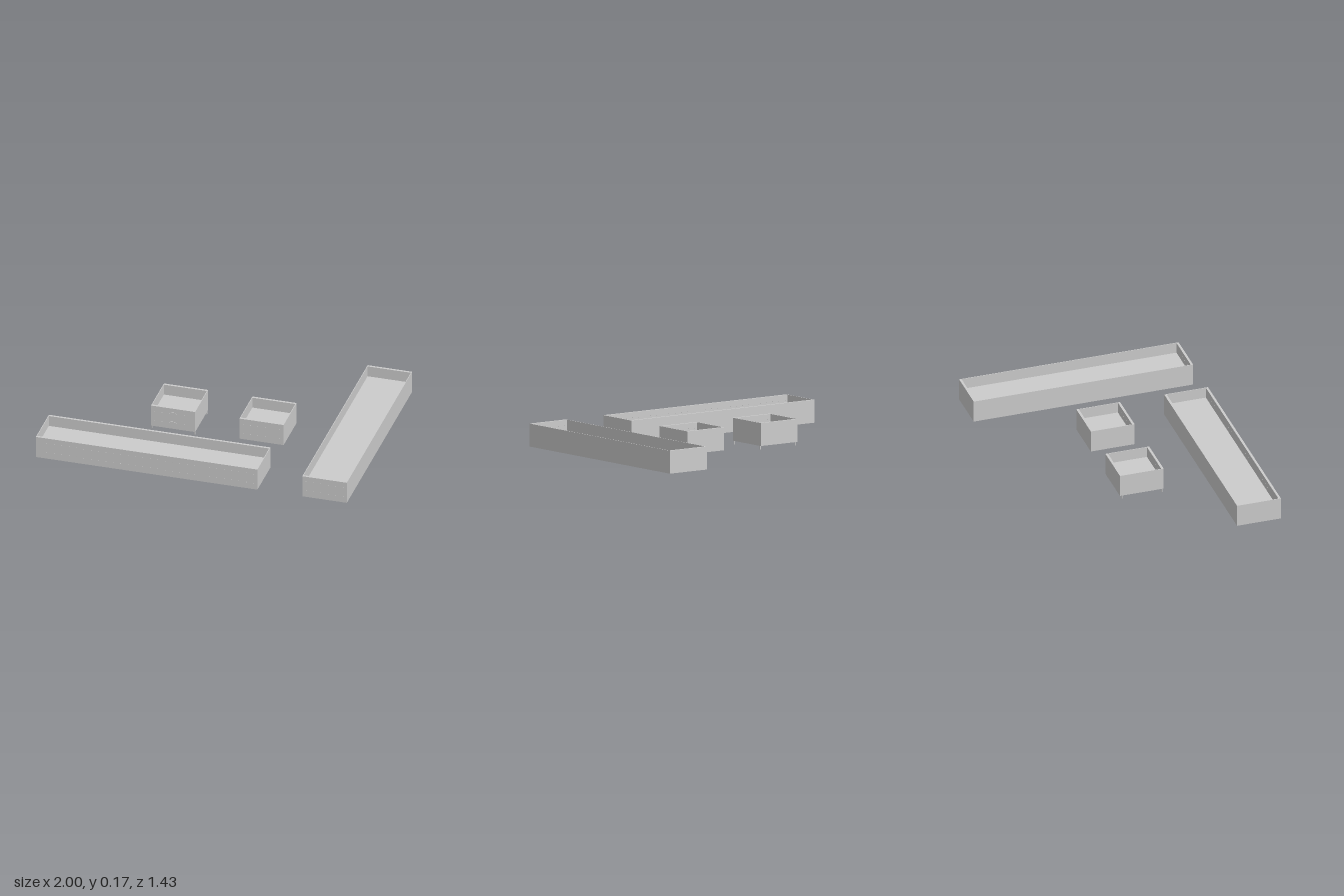
import * as THREE from 'three';

const BOTTOM = 0.022, TOP = 0.165, FLOOR = 0.095;
const WALL = 0.015, SIDE = 0.004;

const grey = new THREE.MeshStandardMaterial({ color: 0xcccccc, flatShading: true });

function add(parent, name, geometry, x, y, z) {
  const mesh = new THREE.Mesh(geometry, grey);
  mesh.name = name;
  mesh.position.set(x, y, z);
  parent.add(mesh);
  return mesh;
}

// Front wall with two rows of tiny drilled holes
function perforatedWall(width, height) {
  const shape = new THREE.Shape([
    new THREE.Vector2(-width / 2, 0), new THREE.Vector2(width / 2, 0),
    new THREE.Vector2(width / 2, height), new THREE.Vector2(-width / 2, height),
  ]);
  const columns = Math.round(width / 0.048);
  for (const y of [0.3 * height, 0.75 * height]) {
    for (let i = 0; i < columns; i++) {
      const hole = new THREE.Path();
      hole.absarc(((i + 0.5) / columns - 0.5) * width, y, 0.002, 0, Math.PI * 2, true);
      shape.holes.push(hole);
    }
  }
  return new THREE.ExtrudeGeometry(shape, { depth: WALL, bevelEnabled: false, curveSegments: 6 });
}

// Open tray: raised floor, thick front and back walls, thin sides
function tray(name, x0, x1, z0, z1) {
  const group = new THREE.Group();
  group.name = name;
  const w = x1 - x0, d = z1 - z0, h = TOP - BOTTOM;
  const cx = (x0 + x1) / 2, cz = (z0 + z1) / 2, cy = (TOP + BOTTOM) / 2;
  const inner = d - 2 * WALL;
  add(group, 'trayFloor', new THREE.BoxGeometry(w - 2 * SIDE, FLOOR - BOTTOM, inner),
    cx, (FLOOR + BOTTOM) / 2, cz);
  add(group, 'backWall', new THREE.BoxGeometry(w, h, WALL), cx, cy, z0 + WALL / 2);
  add(group, 'frontWall', perforatedWall(w, h), cx, BOTTOM, z1 - WALL);
  for (const s of [-1, 1]) {
    add(group, 'sideWall', new THREE.BoxGeometry(SIDE, h, inner), cx + s * (w - SIDE) / 2, cy, cz);
  }
  return group;
}

export function createModel() {
  const model = new THREE.Group();
  model.name = 'trays';

  const footed = tray('footedTray', -0.428, -0.144, -0.143, 0.141);
  model.add(
    tray('longFrontTray', -1, 0.425, 0.428, 0.713),
    tray('longSideTray', 0.714, 1, -0.714, 0.713),
    tray('smallTray', 0.141, 0.425, -0.143, 0.141),
    footed,
  );

  // Short legs under the corners
  for (const x of [-0.424, -0.149]) {
    for (const z of [-0.13, 0.13]) {
      add(footed, 'leg', new THREE.CylinderGeometry(0.004, 0.004, BOTTOM, 10), x, BOTTOM / 2, z);
    }
  }

  // Small pulls on the front wall
  for (const y of [0.07, 0.135]) {
    add(footed, 'handle', new THREE.BoxGeometry(0.032, 0.005, 0.004), -0.286, y, 0.143);
  }
  return model;
}
